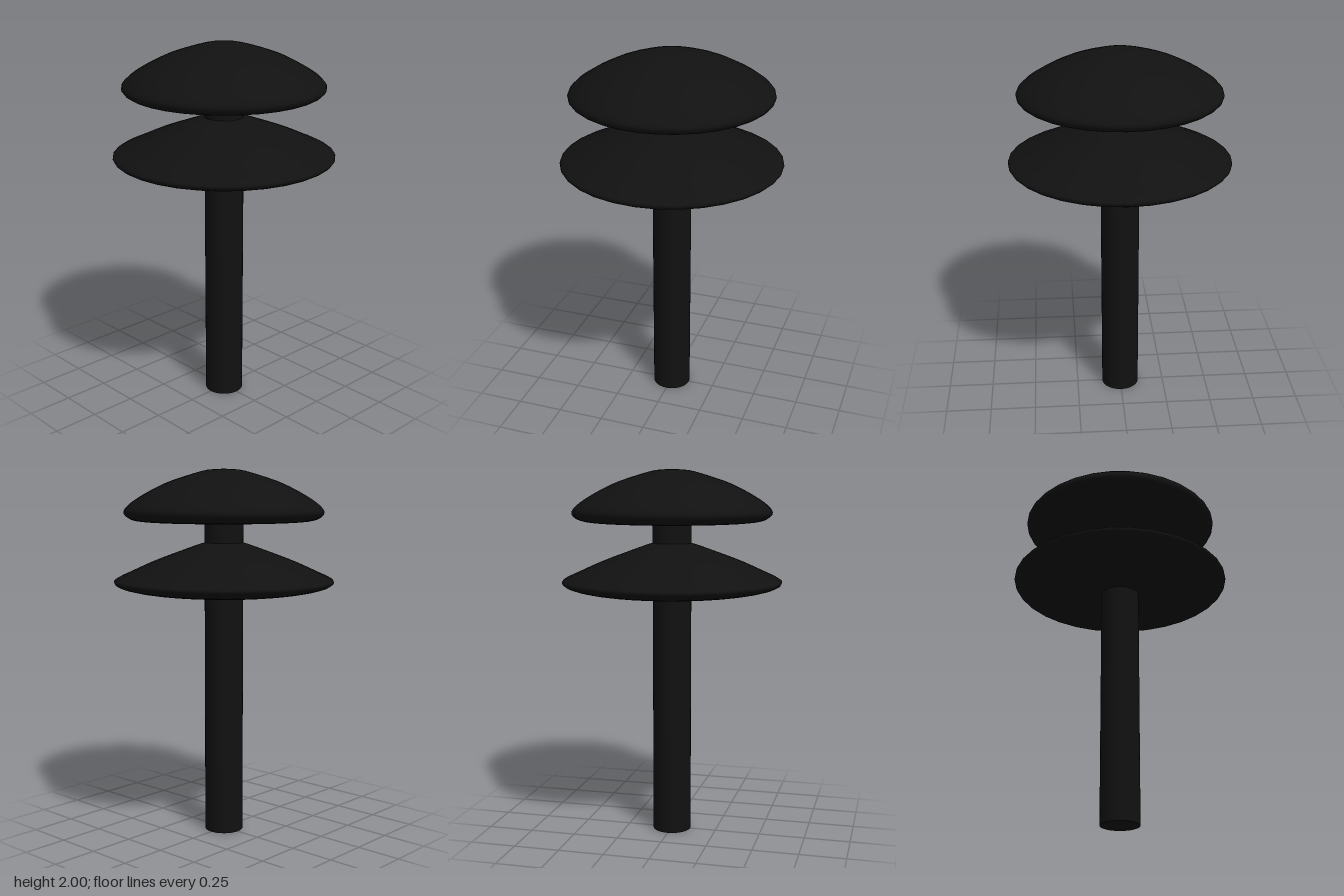
import * as THREE from 'three';

const SEGMENTS = 32;

// Smooth disc turned around y; profile runs from the underside up to the crown
function makeCap(name, profile, material) {
  const curve = new THREE.SplineCurve(profile.map(([r, y]) => new THREE.Vector2(r, y)));
  const points = curve.getPoints(36);
  points.forEach((p) => { p.x = Math.max(0, p.x); });
  const mesh = new THREE.Mesh(new THREE.LatheGeometry(points, SEGMENTS), material);
  mesh.name = name;
  return mesh;
}

export function createModel() {
  const group = new THREE.Group();
  group.name = 'tieredPost';
  const black = new THREE.MeshStandardMaterial({ color: 0x111111 });

  // Straight round post, reaching into the upper cap
  const postHeight = 1.78;
  const post = new THREE.Mesh(new THREE.CylinderGeometry(0.105, 0.105, postHeight, SEGMENTS), black);
  post.position.y = postHeight / 2;
  post.name = 'post';
  group.add(post);

  // Wide lower cap, its slope meeting the post
  group.add(makeCap('lowerCap', [
    [0, 1.325], [0.2, 1.326], [0.35, 1.334], [0.48, 1.35], [0.57, 1.373],
    [0.597, 1.4], [0.57, 1.422], [0.52, 1.445], [0.387, 1.505], [0.25, 1.557], [0.104, 1.608], [0, 1.625],
  ], black));

  // Domed upper cap
  group.add(makeCap('upperCap', [
    [0, 1.715], [0.2, 1.715], [0.36, 1.717], [0.47, 1.724], [0.52, 1.742],
    [0.54, 1.77], [0.52, 1.803], [0.466, 1.844], [0.38, 1.893], [0.28, 1.938], [0.12, 1.988], [0.05, 1.998], [0, 2],
  ], black));

  return group;
}
